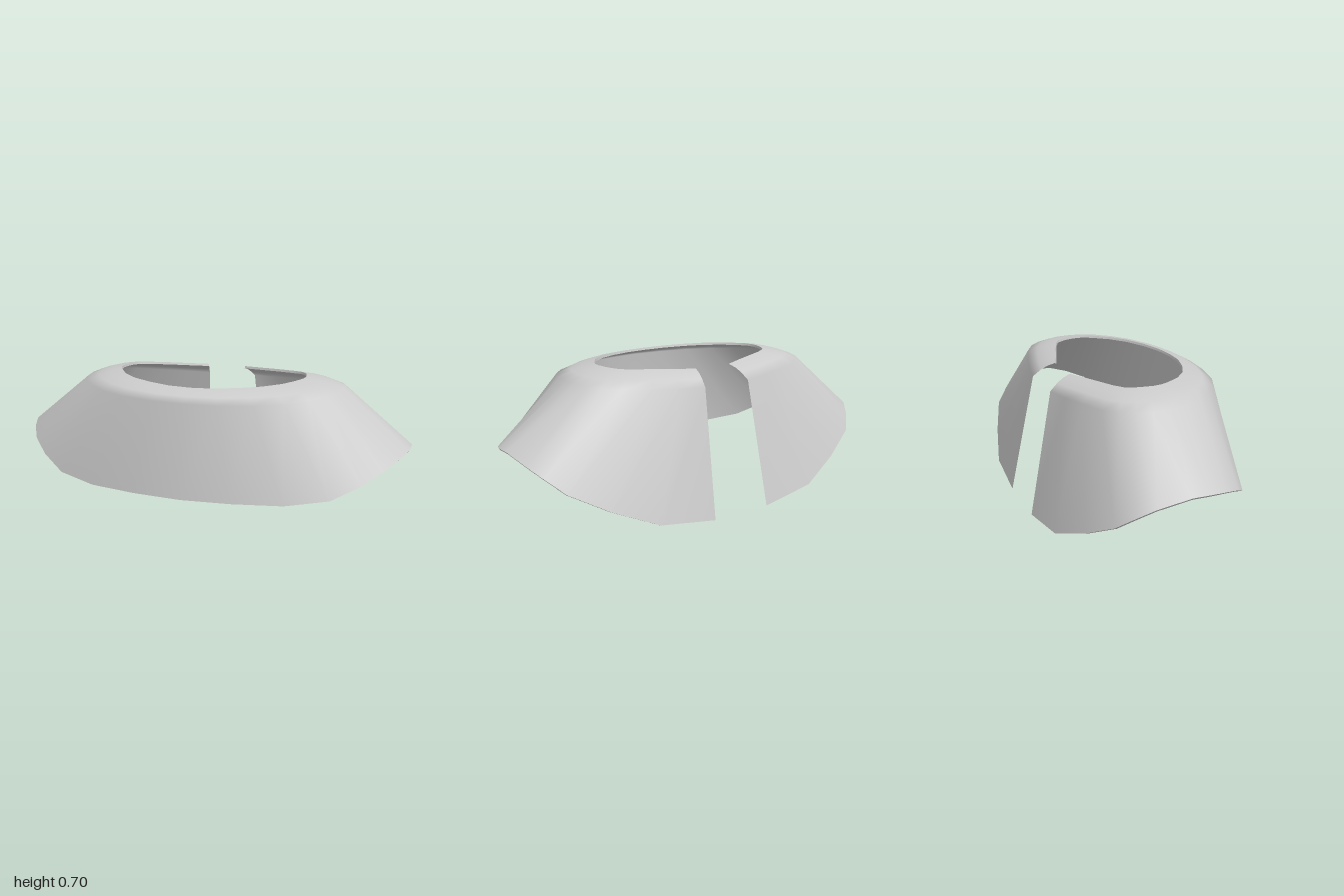
import * as THREE from 'three';

// Half outlines (x, y, z), from the middle of the front round to the rear gap
const hem = [
  [0, .185, .495], [.24, .185, .475], [.48, .186, .43], [.68, .21, .365], [.81, .27, .29],
  [.9, .325, .21], [.96, .36, .11], [.995, .38, .02], [1, .385, -.07], [.975, .35, -.22],
  [.93, .305, -.285], [.86, .24, -.355], [.68, .14, -.42], [.46, .045, -.48], [.16, .003, -.495],
];
const shoulder = [
  [0, .635, .45], [.165, .635, .435], [.325, .637, .395], [.455, .64, .33], [.55, .645, .25],
  [.615, .648, .17], [.65, .65, .08], [.665, .65, -.02], [.66, .65, -.09], [.64, .647, -.16],
  [.6, .642, -.22], [.52, .635, -.27], [.39, .627, -.31], [.26, .62, -.345], [.13, .615, -.37],
];
const neck = [
  [0, .685, .33], [.11, .686, .32], [.22, .689, .285], [.32, .692, .235], [.4, .695, .165],
  [.45, .698, .09], [.475, .7, .04], [.48, .7, 0], [.475, .7, -.04], [.465, .699, -.08],
  [.44, .697, -.125], [.385, .694, -.155], [.29, .69, -.19], [.19, .685, -.225], [.1, .68, -.26],
];
const THICKNESS = 0.012;

// Rounded transition between shoulder and neck
const bend = (tx, ty) => shoulder.map((p, i) => {
  const q = neck[i];
  return [p[0] + (q[0] - p[0]) * tx, p[1] + (q[1] - p[1]) * ty, p[2] + (q[2] - p[2]) * tx];
});

const mirrored = (half) => [
  ...half.slice(1).reverse().map(([x, y, z]) => [-x, y, z]),
  ...half,
];

// Smooth sheet through a list of rows
function sheet(rows, flip = false) {
  const n = rows[0].length, index = [];
  for (let j = 0; j < rows.length - 1; j++) {
    for (let i = 0; i < n - 1; i++) {
      const a = j * n + i, b = a + 1, c = b + n, d = a + n;
      index.push(...(flip ? [a, c, b, a, d, c] : [a, b, c, a, c, d]));
    }
  }
  const g = new THREE.BufferGeometry();
  g.setAttribute('position', new THREE.Float32BufferAttribute(rows.flat(2), 3));
  g.setIndex(index);
  g.computeVertexNormals();
  return g;
}

export function createModel() {
  const group = new THREE.Group();
  group.name = 'shoulderCape';
  const material = new THREE.MeshStandardMaterial({ color: 0xcccccc });
  const add = (name, geometry) => {
    const mesh = new THREE.Mesh(geometry, material);
    mesh.name = name;
    group.add(mesh);
  };

  // Outer shell
  const outer = [hem, shoulder, bend(.35, .5), bend(.65, .8), neck].map(mirrored);
  const shell = sheet(outer);
  add('outerShell', shell);

  // Lining, set in along the shell's normals
  const normal = shell.attributes.normal;
  const n = outer[0].length;
  const inner = outer.map((row, j) => row.map(([x, y, z], i) => {
    const k = j * n + i;
    return [
      x - normal.getX(k) * THICKNESS,
      Math.max(0, y - normal.getY(k) * THICKNESS),
      z - normal.getZ(k) * THICKNESS,
    ];
  }));
  add('lining', sheet(inner, true));

  // Thin edges joining shell and lining
  const last = outer.length - 1;
  const column = (rows, i) => rows.map((row) => row[i]);
  add('hemEdge', sheet([inner[0], outer[0]]));
  add('neckEdge', sheet([outer[last], inner[last]]));
  add('rightGapEdge', sheet([column(outer, 0), column(inner, 0)], true));
  add('leftGapEdge', sheet([column(outer, n - 1), column(inner, n - 1)]));
  return group;
}
